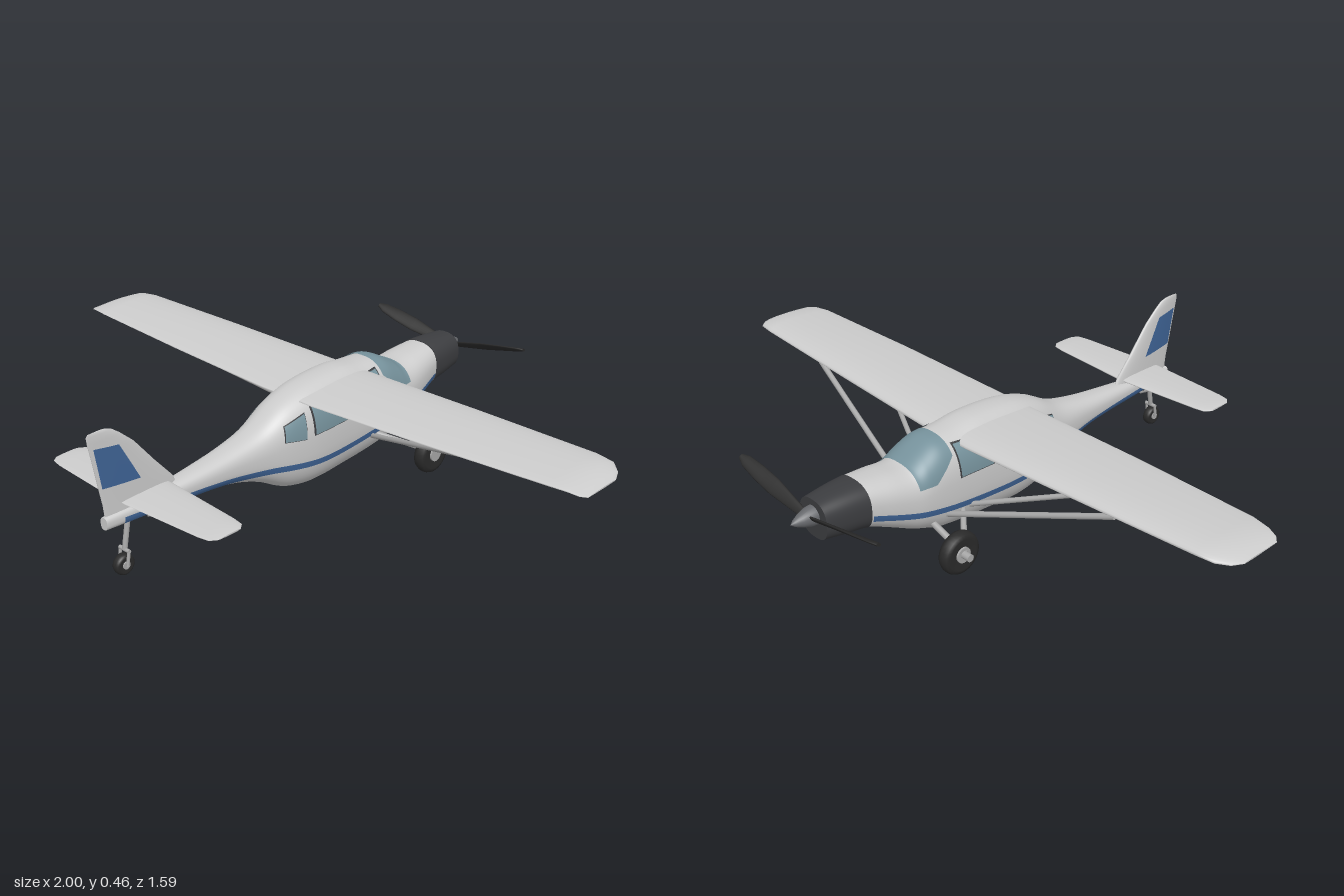
import * as THREE from 'three';

const GREY = 0xcccccc, DARK = 0x3c3d40, GLASS = 0x76929c, BLUE = 0x3f6496, TYRE = 0x2a2a2a, METAL = 0xa8a8a8;
const V = (x, y, z) => new THREE.Vector3(x, y, z);

function mesh(name, geo, color = GREY, side = THREE.FrontSide) {
  const m = new THREE.Mesh(geo, new THREE.MeshStandardMaterial({ color, side }));
  m.name = name;
  return m;
}

// Smooth interpolation of rows [key, v1, v2, ...] sorted by rising key
function sample(rows, k) {
  let i = 0;
  while (i < rows.length - 2 && k > rows[i + 1][0]) i++;
  const a = rows[i], b = rows[i + 1], d = b[0] - a[0];
  const t = THREE.MathUtils.clamp((k - a[0]) / d, 0, 1);
  const p = rows[Math.max(i - 1, 0)], q = rows[Math.min(i + 2, rows.length - 1)];
  return a.slice(1).map((va, n) => {
    const vb = b[n + 1];
    const ma = (vb - p[n + 1]) / (b[0] - p[0]) * d, mb = (q[n + 1] - va) / (q[0] - a[0]) * d;
    const t2 = t * t, t3 = t2 * t;
    return (2 * t3 - 3 * t2 + 1) * va + (t3 - 2 * t2 + t) * ma + (3 * t2 - 2 * t3) * vb + (t3 - t2) * mb;
  });
}

// Closed skin over rings of points, with flat end caps; faces are turned outward
function loft(rings) {
  const n = rings[0].length, pos = [], idx = [];
  rings.forEach(r => r.forEach(p => pos.push(p.x, p.y, p.z)));
  for (let i = 0; i < rings.length - 1; i++) for (let j = 0; j < n; j++) {
    const a = i * n + j, b = i * n + (j + 1) % n;
    idx.push(a, b, a + n, b, b + n, a + n);
  }
  [[rings[0], true], [rings[rings.length - 1], false]].forEach(([r, first]) => {
    const s = pos.length / 3, c = r.reduce((m, p) => m.add(p), V(0, 0, 0)).divideScalar(n);
    [...r, c].forEach(p => pos.push(p.x, p.y, p.z));
    for (let j = 0; j < n; j++) {
      const k = (j + 1) % n;
      idx.push(s + n, s + (first ? k : j), s + (first ? j : k));
    }
  });
  const at = i => V(pos[3 * i], pos[3 * i + 1], pos[3 * i + 2]);
  let vol = 0;
  for (let i = 0; i < idx.length; i += 3) vol += at(idx[i]).dot(at(idx[i + 1]).cross(at(idx[i + 2])));
  if (vol < 0) idx.reverse();
  const g = new THREE.BufferGeometry();
  g.setAttribute('position', new THREE.Float32BufferAttribute(pos, 3));
  g.setIndex(idx);
  g.computeVertexNormals();
  return g;
}

// Open sheet from f(u, v)
function sheet(f, nu, nv) {
  const g = new THREE.PlaneGeometry(1, 1, nu, nv), p = g.attributes.position;
  for (let i = 0; i < p.count; i++) {
    const q = f(p.getX(i) + 0.5, p.getY(i) + 0.5);
    p.setXYZ(i, q.x, q.y, q.z);
  }
  g.computeVertexNormals();
  return g;
}

// Fuselage stations: z, top, bottom, half width
const BODY = [
  [-0.72, 0.312, 0.195, 0.058], [-0.65, 0.317, 0.184, 0.068], [-0.58, 0.318, 0.174, 0.076], [-0.5, 0.311, 0.138, 0.09],
  [-0.42, 0.304, 0.097, 0.1], [-0.38, 0.325, 0.08, 0.103], [-0.33, 0.348, 0.06, 0.105], [-0.285, 0.353, 0.052, 0.106],
  [-0.24, 0.356, 0.046, 0.106], [-0.15, 0.365, 0.038, 0.106], [0, 0.354, 0.03, 0.103], [0.1, 0.325, 0.048, 0.09],
  [0.2, 0.272, 0.1, 0.07], [0.3, 0.246, 0.134, 0.055], [0.4, 0.231, 0.148, 0.045], [0.6, 0.211, 0.156, 0.027], [0.757, 0.2, 0.162, 0.014],
];
const POW = 2.5;
function bodyAt(z) {
  const [top, bot, w] = sample(BODY, z);
  return { w, yc: (top + bot) / 2, h: (top - bot) / 2 };
}
const sp = s => Math.sign(s) * Math.abs(s) ** (2 / POW);
function bodyPoint(z, a, grow = 0) {
  const { w, yc, h } = bodyAt(z);
  return V((w + grow) * sp(Math.cos(a)), yc + (h + grow) * sp(Math.sin(a)), z);
}
function bodyX(z, y) {
  const { w, yc, h } = bodyAt(z);
  return w * Math.max(0, 1 - Math.abs((y - yc) / h) ** POW) ** (1 / POW);
}
function bodySkin(z0, z1, steps, grow) {
  return loft(Array.from({ length: steps + 1 }, (_, i) => Array.from({ length: 56 }, (_, j) =>
    bodyPoint(z0 + (z1 - z0) * i / steps, j / 56 * Math.PI * 2, grow))));
}

// Aerofoil sections [span, leading z, trailing z, height, thickness, lower fraction]
const foilHalf = c => Math.sqrt(Math.max(0, c * (1 - c))) * (1.25 - 0.7 * c);
function foil(rows, place) {
  return loft(rows.map(([s, le, te, h, t, low = 1]) => Array.from({ length: 32 }, (_, k) => {
    const a = k / 32 * Math.PI * 2, c = (1 - Math.cos(a)) / 2, up = Math.sin(a) >= 0;
    return place(s, h + foilHalf(c) * t * (up ? 1 : -low), le + (te - le) * c);
  })));
}
const flat = (s, h, z) => V(s, h, z);
const bothSides = rows => [...rows.slice().reverse().map(([s, ...r]) => [-s, ...r]), ...rows];

const FIN = [[0.19, 0.49, 0.752, 0, 0.03], [0.237, 0.51, 0.757, 0, 0.028], [0.305, 0.57, 0.77, 0, 0.025], [0.39, 0.64, 0.785, 0, 0.02],
  [0.43, 0.685, 0.793, 0, 0.016], [0.45, 0.712, 0.795, 0, 0.012], [0.457, 0.735, 0.79, 0, 0.005]];
function finX(z, y) {
  const [le, te, , t] = sample(FIN, y);
  return foilHalf((z - le) / (te - le)) * t;
}

// Panel between four [z, y] corners laid on a side surface
function panel(c, side, surf, lift, grow = 1) {
  const mz = c.reduce((s, p) => s + p[0] / 4, 0), my = c.reduce((s, p) => s + p[1] / 4, 0);
  return sheet((u, v) => {
    const mix = i => (c[0][i] * (1 - u) + c[1][i] * u) * v + (c[3][i] * (1 - u) + c[2][i] * u) * (1 - v);
    const z = mz + (mix(0) - mz) * grow, y = my + (mix(1) - my) * grow;
    return V(side * (surf(z, y) + lift), y, z);
  }, 14, 14);
}

function bar(name, a, b, r, color = METAL) {
  const d = b.clone().sub(a), m = mesh(name, new THREE.CylinderGeometry(r, r, d.length(), 12), color);
  m.position.copy(a).addScaledVector(d, 0.5);
  m.quaternion.setFromUnitVectors(V(0, 1, 0), d.normalize());
  return m;
}

function wheel(name, r, w, x, y, z) {
  const g = new THREE.Group();
  g.name = name;
  const prof = [[0.35, -0.4], [0.75, -0.5], [0.93, -0.4], [1, -0.15], [1, 0.15], [0.93, 0.4], [0.75, 0.5], [0.35, 0.4]];
  g.add(mesh('tyre', new THREE.LatheGeometry(prof.map(([a, b]) => new THREE.Vector2(a * r, b * w)), 32), TYRE));
  g.add(mesh('hub', new THREE.CylinderGeometry(r * 0.37, r * 0.37, w * 1.1, 20), METAL));
  g.rotation.z = Math.PI / 2;
  g.position.set(x, y, z);
  return g;
}

export function createModel() {
  const g = new THREE.Group();
  g.name = 'lightAircraft';

  // Fuselage, engine cowl and spinner
  g.add(mesh('fuselage', bodySkin(-0.585, 0.757, 80, 0)));
  g.add(mesh('engineCowl', bodySkin(-0.72, -0.58, 10, 0.002), DARK));
  const spin = [[0.03, 0], [0.028, 0.02], [0.02, 0.045], [0.01, 0.066], [0, 0.078]].map(p => new THREE.Vector2(...p));
  const spinner = mesh('spinner', new THREE.LatheGeometry(spin, 24), 0x66686c);
  spinner.rotation.x = -Math.PI / 2;
  spinner.position.set(0, 0.265, -0.717);
  g.add(spinner);

  // Two twisted propeller blades, swept slightly upward
  for (const s of [1, -1]) {
    const rows = [[0.01, 0.012], [0.06, 0.016], [0.15, 0.024], [0.22, 0.023], [0.28, 0.018], [0.305, 0.008]];
    const blade = loft(rows.map(([x, c]) => Array.from({ length: 16 }, (_, k) => {
      const a = k / 16 * Math.PI * 2, tw = 0.9 - x * 1.2, p = c * Math.cos(a), q = 0.005 * Math.sin(a);
      return V(s * x, 0.265 + x * 0.2 + s * (p * Math.sin(tw) + q * Math.cos(tw)), -0.738 + p * Math.cos(tw) - q * Math.sin(tw));
    })));
    g.add(mesh('propellerBlade', blade, TYRE));
  }

  // Wing, stabiliser and fin
  g.add(mesh('wing', foil(bothSides([[0.1, -0.255, 0.055, 0.325, 0.046, 0.6], [0.5, -0.24, 0.043, 0.335, 0.044, 0.6],
    [0.9, -0.222, 0.022, 0.344, 0.036, 0.6], [0.955, -0.213, 0.012, 0.342, 0.03, 0.6],
    [0.985, -0.185, 0.002, 0.336, 0.018, 0.6], [1, -0.15, -0.015, 0.332, 0.006, 0.6]]), flat)));
  g.add(mesh('stabiliser', foil(bothSides([[0.02, 0.53, 0.7, 0.226, 0.018], [0.29, 0.55, 0.682, 0.226, 0.014],
    [0.325, 0.556, 0.675, 0.226, 0.011], [0.34, 0.575, 0.655, 0.226, 0.005]]), flat)));
  g.add(mesh('fin', foil(FIN, (s, h, z) => V(h, s, z))));

  // Windscreen wrapping over the cabin front
  g.add(mesh('windscreen', sheet((u, v) => {
    const z = -0.292 - 0.13 * u, { yc, h } = bodyAt(z);
    const low = Math.asin(((0.31 - 0.06 * Math.min(1, u * 1.8) - yc) / h) ** (POW / 2));
    return bodyPoint(z, low + (Math.PI - 2 * low) * v, 0.003);
  }, 20, 40), GLASS, THREE.DoubleSide));

  // Side windows with dark rims, side stripes and fin panels
  const windows = [[[0.133, 0.275], [0.06, 0.297], [0.065, 0.22], [0.14, 0.23]],
    [[0.03, 0.314], [-0.12, 0.308], [-0.12, 0.233], [0.03, 0.225]],
    [[-0.15, 0.328], [-0.275, 0.335], [-0.275, 0.242], [-0.15, 0.237]]];
  const STRIPE = [[-0.575, 0.22], [-0.4, 0.168], [-0.2, 0.138], [0, 0.128], [0.2, 0.15], [0.4, 0.168], [0.7, 0.176]];
  for (const s of [1, -1]) {
    for (const w of windows) {
      g.add(mesh('windowRim', panel(w, s, bodyX, 0.002, 1.07), DARK, THREE.DoubleSide));
      g.add(mesh('sideWindow', panel(w, s, bodyX, 0.004), GLASS, THREE.DoubleSide));
    }
    g.add(mesh('sideStripe', sheet((u, v) => {
      const z = -0.575 + 1.275 * u, y = sample(STRIPE, z)[0] + (v - 0.5) * 0.02;
      return V(s * (bodyX(z, y) + 0.002), y, z);
    }, 80, 3), BLUE, THREE.DoubleSide));
    g.add(mesh('finPanel', panel([[0.777, 0.412], [0.697, 0.402], [0.633, 0.28], [0.757, 0.288]], s, finX, 0.0015), BLUE, THREE.DoubleSide));
  }

  // Wing struts, stabiliser struts and undercarriage legs
  for (const s of [1, -1]) {
    const hub = V(s > 0 ? 0.23 : -0.215, 0.07, -0.367);
    g.add(bar('frontWingStrut', V(s * 0.09, 0.13, -0.322), V(s * 0.63, 0.325, -0.213), 0.009));
    g.add(bar('rearWingStrut', V(s * 0.09, 0.125, -0.236), V(s * 0.63, 0.325, -0.005), 0.008));
    g.add(bar('stabiliserStrut', V(s * 0.015, 0.155, 0.615), V(s * 0.13, 0.222, 0.615), 0.004));
    g.add(bar('mainLeg', V(s * 0.08, 0.115, -0.367), hub, 0.01));
    g.add(bar('legBrace', V(s * 0.08, 0.13, -0.25), hub, 0.009));
    g.add(bar('axle', V(s * 0.15, 0.07, -0.367), V(s * 0.24, 0.07, -0.367), 0.012));
    g.add(wheel('mainWheel', 0.067, 0.042, s > 0 ? 0.23 : -0.19, 0.067, -0.367));
  }

  // Tail wheel and its leg
  g.add(wheel('tailWheel', 0.032, 0.028, 0, 0.032, 0.7));
  g.add(bar('tailFork', V(0.018, 0.03, 0.7), V(0.018, 0.075, 0.693), 0.005));
  g.add(bar('tailFork', V(-0.018, 0.03, 0.7), V(-0.018, 0.075, 0.693), 0.005));
  g.add(bar('tailForkTop', V(-0.021, 0.075, 0.693), V(0.021, 0.075, 0.693), 0.006));
  g.add(bar('tailLeg', V(0, 0.075, 0.693), V(0, 0.17, 0.675), 0.008));
  return g;
}
